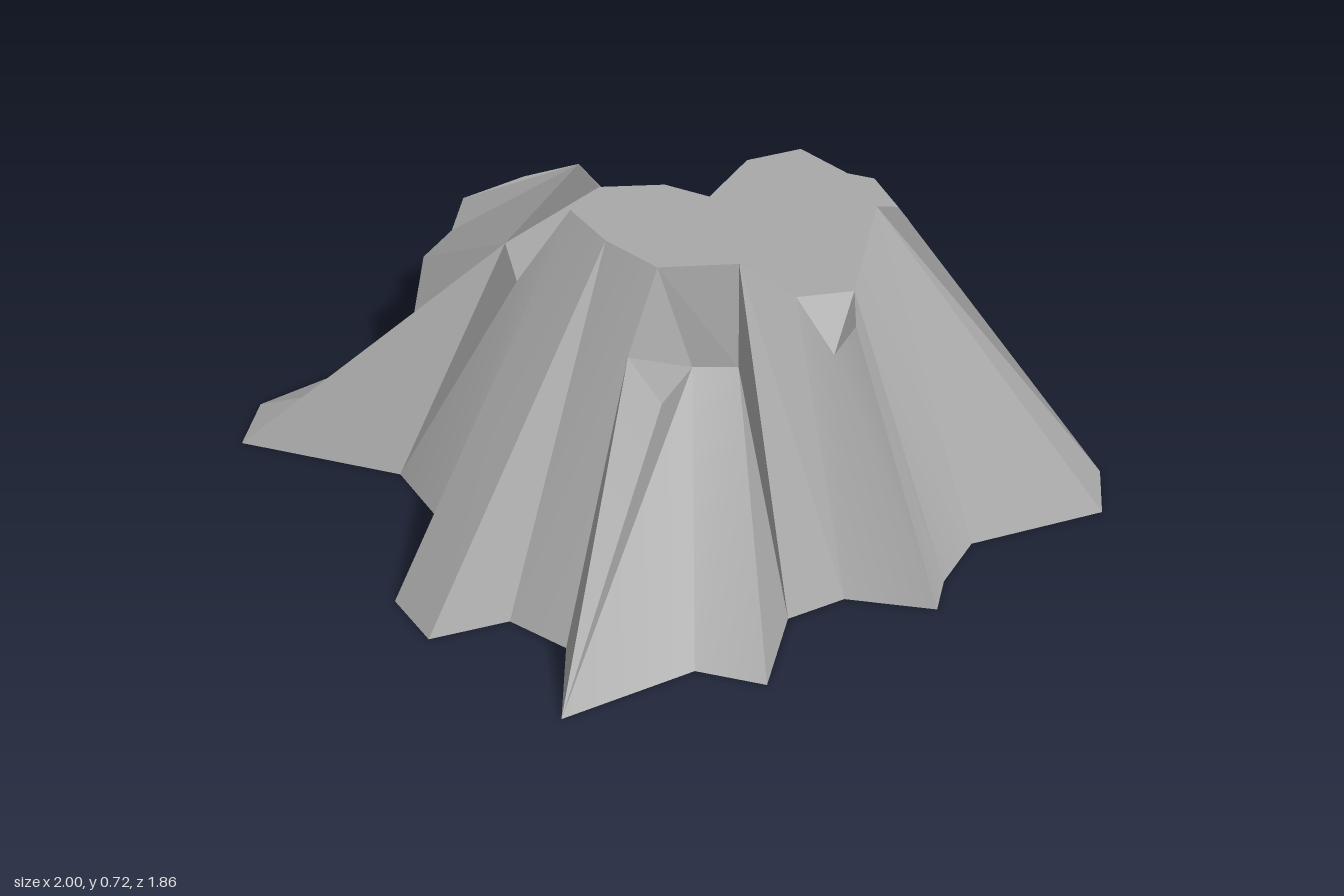
import * as THREE from 'three';
import { toCreasedNormals } from 'three/addons/utils/BufferGeometryUtils.js';

// Rim points of the mound: x, y, z
const R = {
  A: [-.16, .717, .05], B: [-.025, .717, .005], C: [.08, .717, .025], D: [.125, .717, -.135],
  E: [.23, .717, -.21], F: [.35, .717, -.14], G: [.41, .717, -.135], H: [.48, .58, -.2],
  I: [.535, .51, -.095], J2: [.48, .717, -.04], J: [.435, .717, -.03], K: [.42, .587, .107],
  L: [.44, .55, .18], M: [.4, .48, .2], N: [.305, .587, .16], O: [.2, .717, .25],
  P: [.21, .47, .28], Q: [.115, .47, .305], Q2: [.085, .47, .44], R2: [.01, .57, .43],
  R: [.04, .717, .305], S: [-.09, .717, .24], T: [-.195, .717, .15], U: [-.31, .535, .19],
  V: [-.38, .535, .06], V2: [-.62, .16, .147], W: [-.62, .385, -.04], X2: [-.595, .38, -.165],
  X: [-.57, .46, -.19], Y: [-.46, .46, -.315], Z: [-.35, .46, -.4],
};

// Foot outline, each corner (x, z) with the rim points its ridge climbs to
const FOOT = [
  [.09, -.935, 'C', 'D'], [.23, -.92, 'D', 'E'], [.37, -.875, 'E'], [.49, -.55, 'F'],
  [.61, -.5, 'G'], [.745, -.395, 'H'], [.76, -.265, 'I'], [.98, -.135, 'J2', 'J'],
  [1, .005, 'J'], [.73, .185, 'K'], [.69, .32, 'L'], [.69, .41, 'M'],
  [.49, .43, 'N', 'O'], [.385, .52, 'O', 'P'], [.385, .72, 'P'], [.23, .72, 'Q'],
  [0, .92, 'Q2', 'R2'], [-.05, .725, 'R'], [-.19, .68, 'R', 'S'], [-.34, .775, 'S'],
  [-.45, .685, 'T'], [-.45, .41, 'U'], [-.585, .29, 'V'], [-.985, .28, 'V', 'V2'],
  [-1, .135, 'V2'], [-.73, -.175, 'V2', 'W'], [-.73, -.345, 'X2'], [-.67, -.645, 'X'],
  [-.58, -.76, 'Y'], [-.31, -.595, 'Z'], [-.225, -.725, 'Z', 'A'], [-.055, -.7, 'B'],
];

function fromTriangles(tris) {
  const g = new THREE.BufferGeometry();
  g.setAttribute('position', new THREE.Float32BufferAttribute(tris.flat(2), 3));
  g.computeVertexNormals();
  return g;
}

// Fill a loop of points, facing up (1) or down (-1)
function fill(points, facing = 1) {
  const flat = points.map(p => new THREE.Vector2(p[0], p[2]));
  return THREE.ShapeUtils.triangulateShape(flat, []).map(([i, j, k]) => {
    const [a, b, c] = [flat[i], flat[j], flat[k]];
    const up = (b.x - a.x) * (c.y - a.y) - (b.y - a.y) * (c.x - a.x) < 0;
    const t = [points[i], points[j], points[k]];
    return up === (facing > 0) ? t : t.reverse();
  });
}
const fillRim = names => fill(names.split(' ').map(n => R[n]));

export function createModel() {
  const group = new THREE.Group();
  const rock = new THREE.MeshStandardMaterial({ color: 0xa8a8a8 });
  rock.name = 'grey rock';
  const add = (name, geometry) => {
    const mesh = new THREE.Mesh(geometry, rock);
    mesh.name = name;
    group.add(mesh);
  };

  // Ridged slopes between foot and rim
  const rails = FOOT.flatMap(([x, z, ...names]) => names.map(n => [[x, 0, z], R[n]]));
  const walls = [];
  rails.forEach(([b0, r0], i) => {
    const [b1, r1] = rails[(i + 1) % rails.length];
    if (b0[0] !== b1[0] || b0[2] !== b1[2]) walls.push([b1, b0, r0]);
    if (r0 !== r1) walls.push([b1, r0, r1]);
  });
  add('slopes', toCreasedNormals(fromTriangles(walls), 0.3));

  // Summit with a shallow gully running across it
  const summit = fromTriangles([
    ...fillRim('V A B C D E F G J K'),
    ...fillRim('K N O R S T U V'),
  ]);
  const n = summit.attributes.normal;
  for (let i = 0; i < n.count; i++) n.setXYZ(i, 0, 1, 0);
  add('summit', summit);

  // Lower shoulders and ledges around the summit
  add('leftShoulder', fromTriangles([...fillRim('A Z Y X X2 W V'), ...fillRim('V W V2')]));
  add('frontLedge', fromTriangles(fillRim('O P Q Q2 R2 R')));
  add('sideLedge', fromTriangles(fillRim('K L M N')));
  add('backLedge', fromTriangles(fillRim('G H I J2 J')));

  // Flat underside
  add('underside', fromTriangles(fill(FOOT.map(([x, z]) => [x, 0, z]), -1)));
  return group;
}
